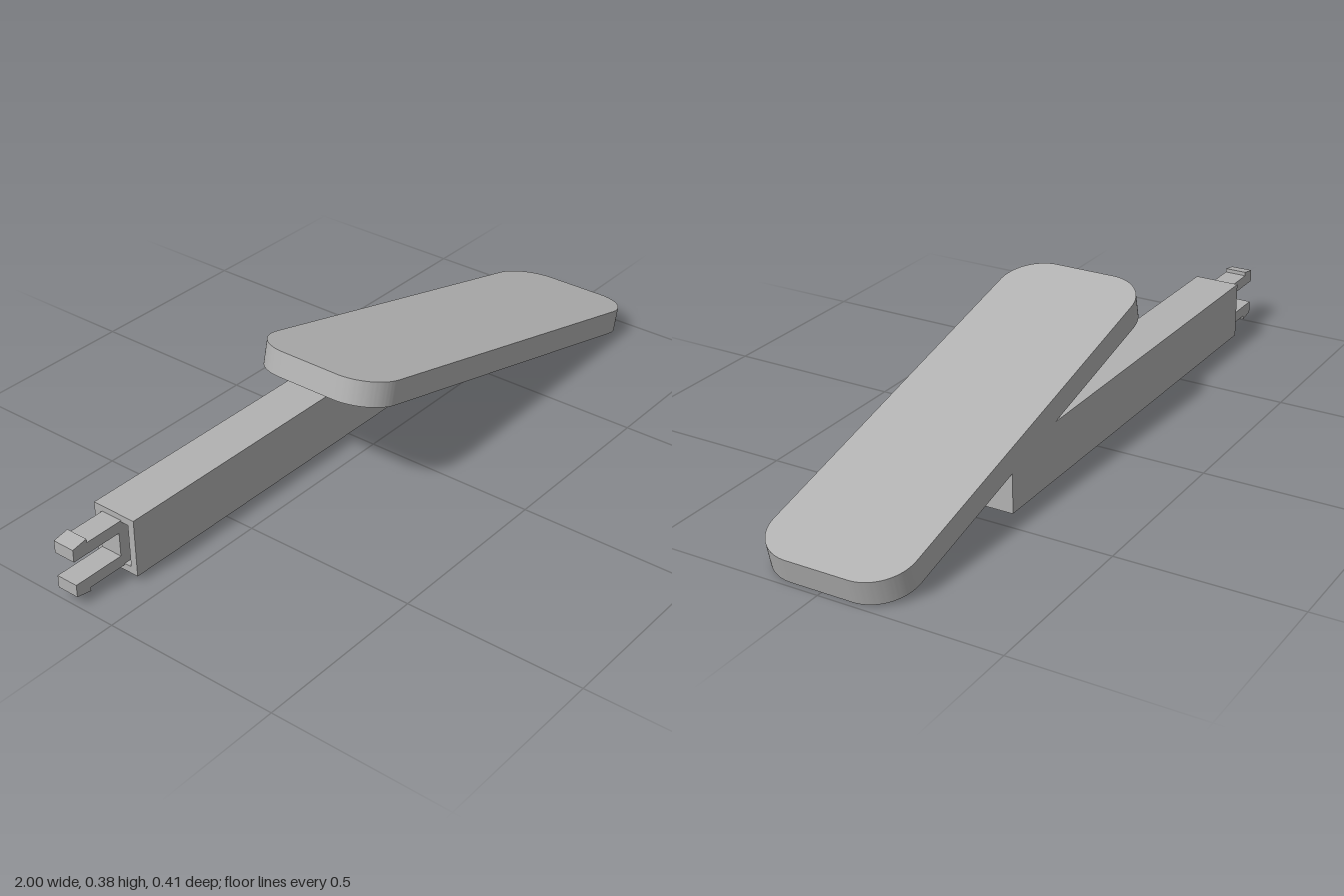
import * as THREE from 'three';
import { toCreasedNormals } from 'three/addons/utils/BufferGeometryUtils.js';

const grey = new THREE.MeshStandardMaterial({ color: 0xb2b2b2 });
grey.name = 'plain grey';

function part(name, geometry) {
  const mesh = new THREE.Mesh(geometry, grey);
  mesh.name = name;
  return mesh;
}

// Rectangle centred on the origin, with optional rounded corners
function rectangle(w, h, r = 0, Type = THREE.Shape) {
  const s = new Type();
  const x = w / 2, y = h / 2;
  if (!r) {
    return s.setFromPoints([[-x, -y], [x, -y], [x, y], [-x, y], [-x, -y]].map(p => new THREE.Vector2(...p)));
  }
  s.moveTo(-x + r, -y);
  s.lineTo(x - r, -y);
  s.absarc(x - r, -y + r, r, -Math.PI / 2, 0);
  s.absarc(x - r, y - r, r, 0, Math.PI / 2);
  s.absarc(-x + r, y - r, r, Math.PI / 2, Math.PI);
  s.absarc(-x + r, -y + r, r, Math.PI, Math.PI * 1.5);
  return s;
}

// Tilted slab with rounded corners
function createPaddle() {
  const thick = 0.069;
  const raw = new THREE.ExtrudeGeometry(rectangle(1.301, 0.405, 0.115), {
    depth: thick, bevelEnabled: false, curveSegments: 16,
  });
  raw.translate(0, 0, -thick / 2).rotateX(-Math.PI / 2);
  const paddle = part('paddle', toCreasedNormals(raw, Math.PI / 6));
  paddle.position.set(0.361, 0.19, 0);
  paddle.rotation.z = -THREE.MathUtils.degToRad(13.9);
  return paddle;
}

// Straight arm, closed at one end and socketed at the other
function createArm() {
  const arm = new THREE.Group();
  arm.name = 'arm';
  const [x0, x1, h, d, wall, depth] = [-0.84, 0.465, 0.164, 0.133, 0.02, 0.04];
  const section = rectangle(d, h);
  section.holes.push(rectangle(d - 2 * wall, h - 2 * wall, 0, THREE.Path));
  const sleeve = new THREE.ExtrudeGeometry(section, { depth: x1 - x0, bevelEnabled: false });
  sleeve.rotateY(Math.PI / 2).translate(x0, 0, 0);
  const core = new THREE.BoxGeometry(x1 - x0 - depth, h - 2 * wall, d - 2 * wall);
  core.translate((x0 + depth + x1) / 2, 0, 0);
  arm.add(part('armSleeve', sleeve), part('armCore', core));
  arm.position.set(0, 0.099, -0.136);
  return arm;
}

// Forked clip with a barb on the outside of each prong
function createClip() {
  const upper = [[-0.85, 0.034], [-1, 0.034], [-1, 0.069], [-0.955, 0.077], [-0.955, 0.066], [-0.79, 0.066]];
  const lower = upper.map(([x, y]) => [x, -y]).reverse();
  const profile = new THREE.Shape([...upper, ...lower].map(p => new THREE.Vector2(...p)));
  const clip = part('clip', new THREE.ExtrudeGeometry(profile, { depth: 0.064, bevelEnabled: false }));
  clip.position.set(0, 0.099, -0.176);
  return clip;
}

export function createModel() {
  const model = new THREE.Group();
  model.name = 'paddleWithClipArm';
  model.add(createPaddle(), createArm(), createClip());
  return model;
}
